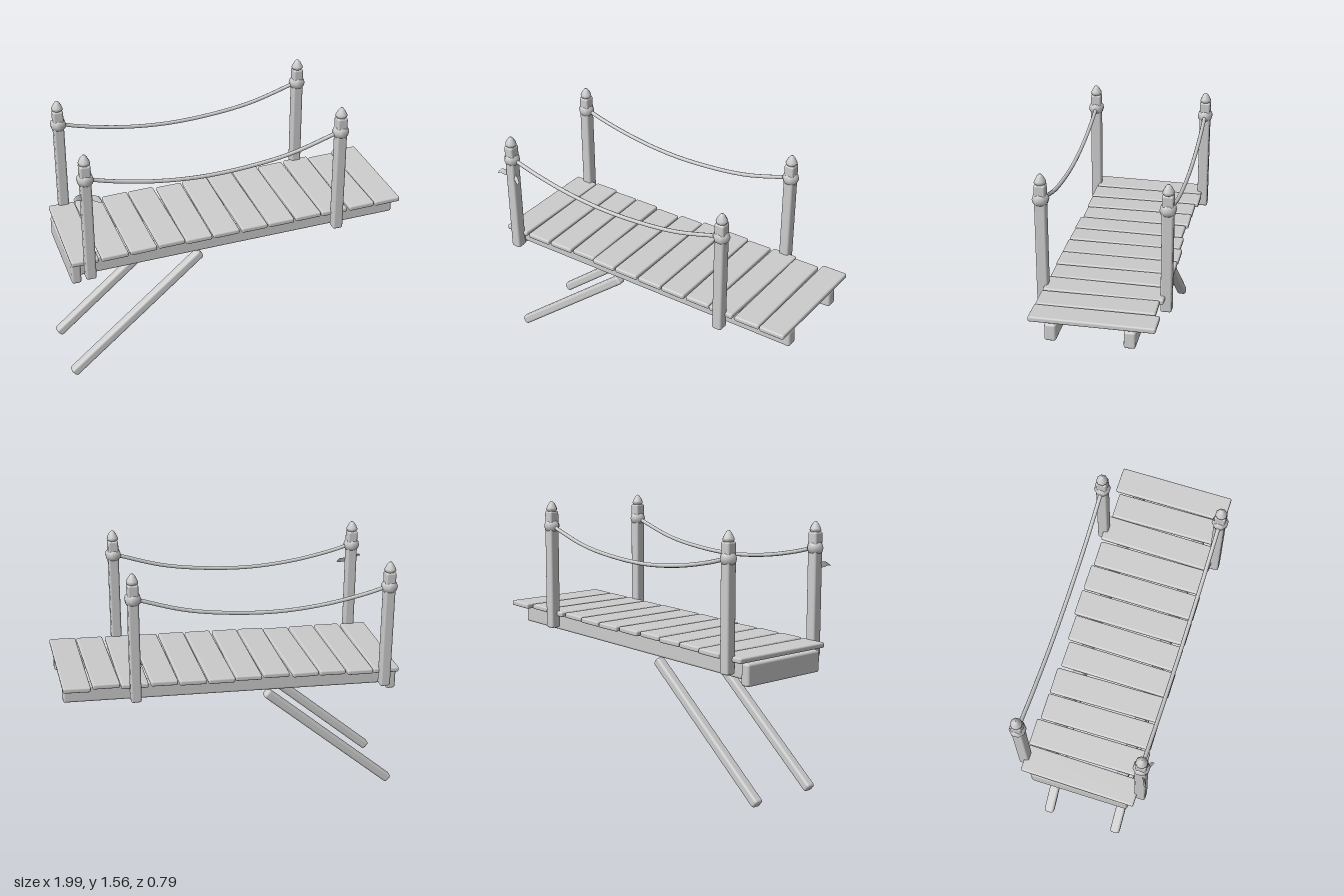
import * as THREE from 'three';
import { RoundedBoxGeometry } from 'three/addons/geometries/RoundedBoxGeometry.js';

const SLOPE = 0.0435;

export function createModel() {
  const model = new THREE.Group();
  model.name = 'footbridge';
  const grey = new THREE.MeshStandardMaterial({ color: 0xcccccc });
  grey.name = 'plain grey';
  const greyThin = grey.clone();
  greyThin.name = 'plain grey thin';
  greyThin.side = THREE.DoubleSide;

  const add = (name, geometry, x, y, z, parent = model, material = grey) => {
    const mesh = new THREE.Mesh(geometry, material);
    mesh.name = name;
    mesh.position.set(x, y, z);
    parent.add(mesh);
    return mesh;
  };
  const block = (w, h, d, r) => new RoundedBoxGeometry(w, h, d, 2, r);

  // Deck planks: uneven back and front ends, with a slight yaw
  const planks = [
    [-0.345, 0.328, -0.012], [-0.35, 0.33, 0.008], [-0.335, 0.325, 0.012], [-0.335, 0.317, 0.02],
    [-0.322, 0.33, -0.004], [-0.335, 0.328, -0.008], [-0.35, 0.33, 0.005], [-0.347, 0.33, 0],
    [-0.336, 0.325, 0.008], [-0.345, 0.33, -0.01], [-0.326, 0.33, 0.012], [-0.355, 0.332, 0],
  ];
  const deck = new THREE.Group();
  deck.name = 'deck';
  model.add(deck);
  planks.forEach(([back, front, yaw], i) => {
    const x = -0.893 + i * 0.1644;
    const plank = add('plank', block(0.155, 0.031, front - back, 0.01),
      x, 0.826 + (x + 0.893) * 0.0425, (back + front) / 2, deck);
    plank.rotation.set(0, yaw, SLOPE + (i % 3 - 1) * 0.008);
  });

  // Long beams and slanted braces below the deck
  for (const z of [0.213, -0.216]) {
    add('beam', block(1.905, 0.1, 0.065, 0.014), 0.032, 0.788, z).rotation.z = SLOPE;
    const brace = add('brace', block(1.042, 0.054, 0.058, 0.016), -0.591, 0.36, z);
    brace.rotation.z = Math.atan2(0.68, 0.783);
  }
  add('endBoard', block(0.056, 0.125, 0.58, 0.014), -0.943, 0.738, 0);

  // Posts with knot rings and pointed caps
  const ringProfile = [[0.03, -0.032], [0.042, -0.022], [0.048, 0], [0.042, 0.022], [0.03, 0.032]];
  const capProfile = [[0, 0], [0.026, 0], [0.034, 0.012], [0.032, 0.022], [0.02, 0.045], [0.008, 0.06], [0, 0.062]];
  const lathe = (profile) => new THREE.LatheGeometry(
    profile.map(([r, y]) => new THREE.Vector2(r, y)), 8, Math.PI / 8);
  const postZ = [0.343, -0.35];
  for (const z of postZ) {
    for (const [x, bottom, ringY] of [[-0.875, 0.742, 1.358], [0.589, 0.802, 1.418]]) {
      const post = new THREE.Group();
      post.name = 'post';
      post.position.set(x, bottom, z);
      model.add(post);
      add('postShaft', block(0.06, 0.706, 0.064, 0.012), 0, 0.353, 0, post);
      add('knotRing', lathe(ringProfile), 0, ringY - bottom, 0, post);
      add('postCap', lathe(capProfile), 0, 0.702, 0, post);
    }
    // Sagging hand rope
    const sag = [[-0.875, 1.362], [-0.75, 1.328], [-0.5, 1.284], [-0.23, 1.267],
      [0.05, 1.285], [0.3, 1.327], [0.589, 1.42]];
    const path = new THREE.CatmullRomCurve3(sag.map(([x, y]) => new THREE.Vector3(x, y, z)));
    add('handRope', new THREE.TubeGeometry(path, 32, 0.0115, 8), 0, 0, 0);
  }

  // Loose ribbon ends curling away from the front left post: [x, top, bottom, z]
  const ribbon = (rows) => {
    const points = [], index = [];
    rows.forEach(([x, top, bottom, z], i) => {
      points.push(x, top, z - 0.008, x, bottom, z + 0.006);
      if (i) index.push(2 * i - 2, 2 * i - 1, 2 * i, 2 * i - 1, 2 * i + 1, 2 * i);
    });
    const g = new THREE.BufferGeometry();
    g.setAttribute('position', new THREE.Float32BufferAttribute(points, 3));
    g.setIndex(index);
    g.computeVertexNormals();
    return g;
  };
  add('ribbonEnd', ribbon([[-0.95, 1.268, 1.258, 0.388], [-0.935, 1.282, 1.262, 0.38],
    [-0.915, 1.282, 1.25, 0.37], [-0.89, 1.275, 1.245, 0.36]]), 0, 0, 0, model, greyThin);
  add('ribbonEnd', ribbon([[-0.86, 1.27, 1.24, 0.36], [-0.835, 1.266, 1.236, 0.37],
    [-0.815, 1.262, 1.23, 0.38], [-0.8, 1.24, 1.232, 0.388]]), 0, 0, 0, model, greyThin);
  return model;
}
